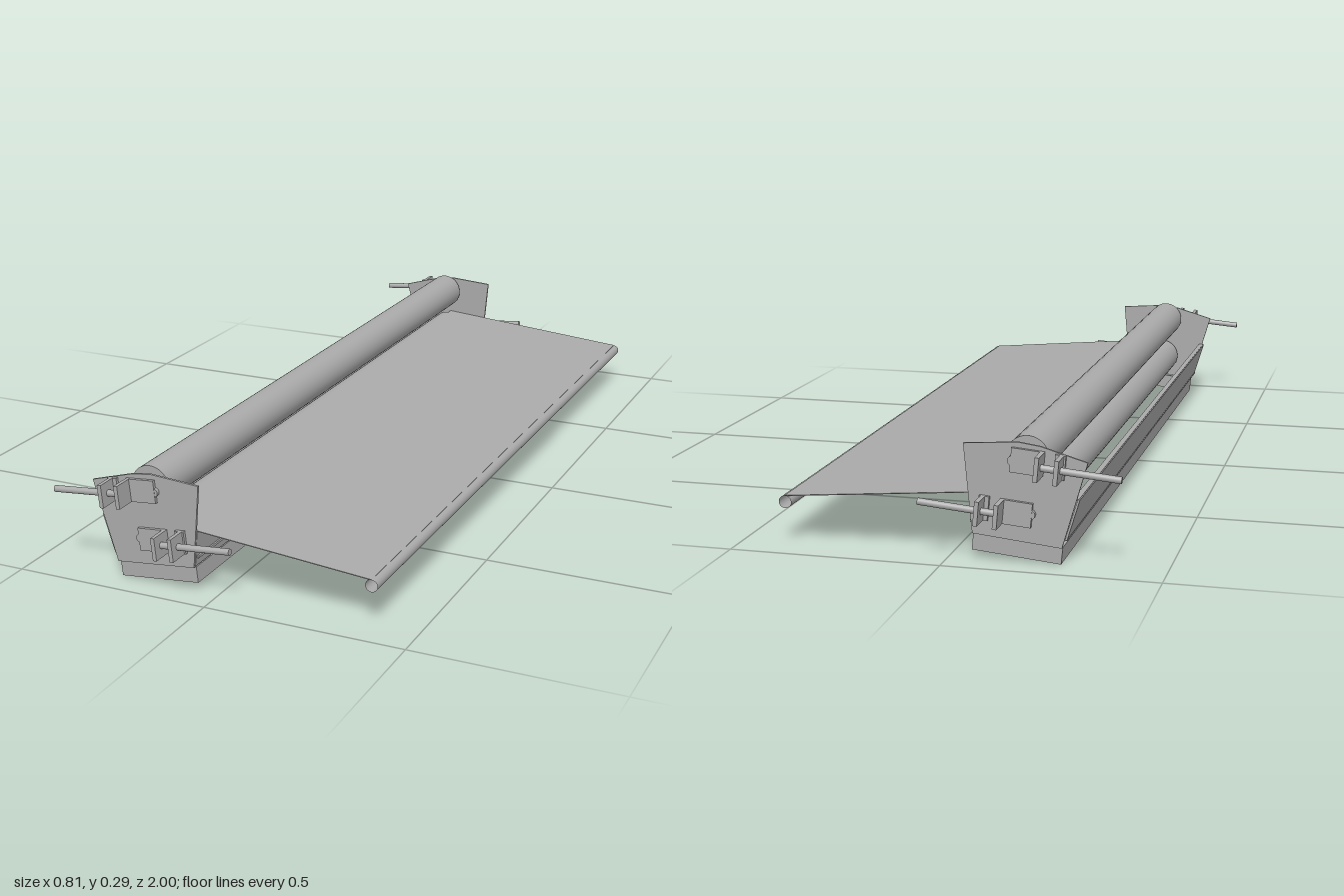
import * as THREE from 'three';

export function createModel() {
  const root = new THREE.Group();
  root.name = 'rollerUnit';
  const grey = new THREE.MeshStandardMaterial({ color: 0xaaaaaa });
  grey.name = 'grey';
  const greyOpen = new THREE.MeshStandardMaterial({ color: 0xaaaaaa, side: THREE.DoubleSide });
  greyOpen.name = 'grey two-sided';

  const add = (name, geo, x, y, z, parent = root, mat = grey) => {
    const m = new THREE.Mesh(geo, mat);
    m.name = name;
    m.position.set(x, y, z);
    parent.add(m);
    return m;
  };
  const box = (name, w, h, d, x, y, z, parent) => add(name, new THREE.BoxGeometry(w, h, d), x, y, z, parent);
  const zCylinder = (r, len, seg = 40, open = false) =>
    new THREE.CylinderGeometry(r, r, len, seg, 1, open).rotateX(Math.PI / 2);
  // thin slab running the length of the unit, between two points of the cross-section
  const slab = (name, x1, y1, x2, y2, t, depth) => {
    const m = box(name, Math.hypot(x2 - x1, y2 - y1), t, depth, (x1 + x2) / 2, (y1 + y2) / 2, 0);
    m.rotation.z = Math.atan2(y2 - y1, x2 - x1);
    return m;
  };

  // rollers
  add('upperRoller', zCylinder(0.05, 1.83), -0.18, 0.239, 0);
  add('lowerRoller', zCylinder(0.05, 1.83), -0.17, 0.117, 0);

  // sheet leaving the lower roller, with the hollow tube on its free edge
  slab('sheet', -0.168, 0.166, 0.39, 0.118, 0.002, 1.87);
  add('edgeTube', zCylinder(0.015, 1.87, 32, true), 0.39, 0.103, 0, root, greyOpen);

  // side walls and their inner flanges
  slab('rightWall', -0.301, 0.155, -0.272, 0.06, 0.005, 1.87);
  slab('rightWallFlange', -0.276, 0.06, -0.22, 0.064, 0.005, 1.86);
  slab('rightWallLip', -0.301, 0.154, -0.288, 0.155, 0.004, 1.86);
  slab('leftWall', -0.0515, 0.152, -0.059, 0.066, 0.005, 1.87);
  slab('leftWallFlange', -0.059, 0.078, -0.1, 0.074, 0.005, 1.86);
  slab('leftWallLedge', -0.055, 0.088, -0.05, 0.088, 0.006, 1.86);

  // tilted open base frame
  const base = new THREE.Group();
  base.name = 'baseFrame';
  base.position.set(-0.159, 0.0315, 0);
  base.rotation.z = 0.0975;
  root.add(base);
  for (const s of [-1, 1]) {
    box('baseSide', 0.01, 0.04, 1.86, s * 0.0985, 0, 0, base);
    box('baseSideFlange', 0.03, 0.005, 1.84, s * 0.08, 0.0175, 0, base);
    box('baseEnd', 0.187, 0.04, 0.01, 0, 0, s * 0.925, base);
  }

  // end plate outline
  const outline = new THREE.Shape([
    [-0.264, 0.042], [-0.058, 0.063], [-0.039, 0.27], [-0.165, 0.279], [-0.215, 0.272], [-0.322, 0.241],
  ].map(([x, y]) => new THREE.Vector2(x, y)));
  const plateGeo = new THREE.ExtrudeGeometry(outline, { depth: 0.006, bevelEnabled: false });

  // adjuster: angle bracket, guide block, threaded rod and pin
  function adjuster(name, s, x, y, turn) {
    const g = new THREE.Group();
    g.name = name;
    g.position.set(x, y, 0);
    g.rotation.z = 0.09 + turn;
    root.add(g);
    box('bracketPlate', 0.075, 0.056, 0.008, 0, 0, s * 0.946, g);
    box('bracketFlange', 0.01, 0.056, 0.058, -0.0325, 0, s * 0.971, g);
    box('guideBlock', 0.01, 0.056, 0.058, -0.077, -0.001, s * 0.971, g);
    box('guideFoot', 0.024, 0.056, 0.008, -0.074, -0.001, s * 0.946, g);
    const rod = add('rod', new THREE.CylinderGeometry(0.008, 0.008, 0.185, 20), -0.126, -0.001, s * 0.973, g);
    rod.rotation.z = Math.PI / 2;
    add('pin', zCylinder(0.011, 0.012, 20), 0.034, -0.002, s * 0.943, g);
  }

  for (const s of [-1, 1]) {
    add('endPlate', plateGeo, 0, 0, s > 0 ? 0.934 : -0.94);
    adjuster('upperAdjuster', s, -0.187, 0.237, 0);
    adjuster('lowerAdjuster', s, -0.16, 0.118, Math.PI);
  }
  return root;
}
